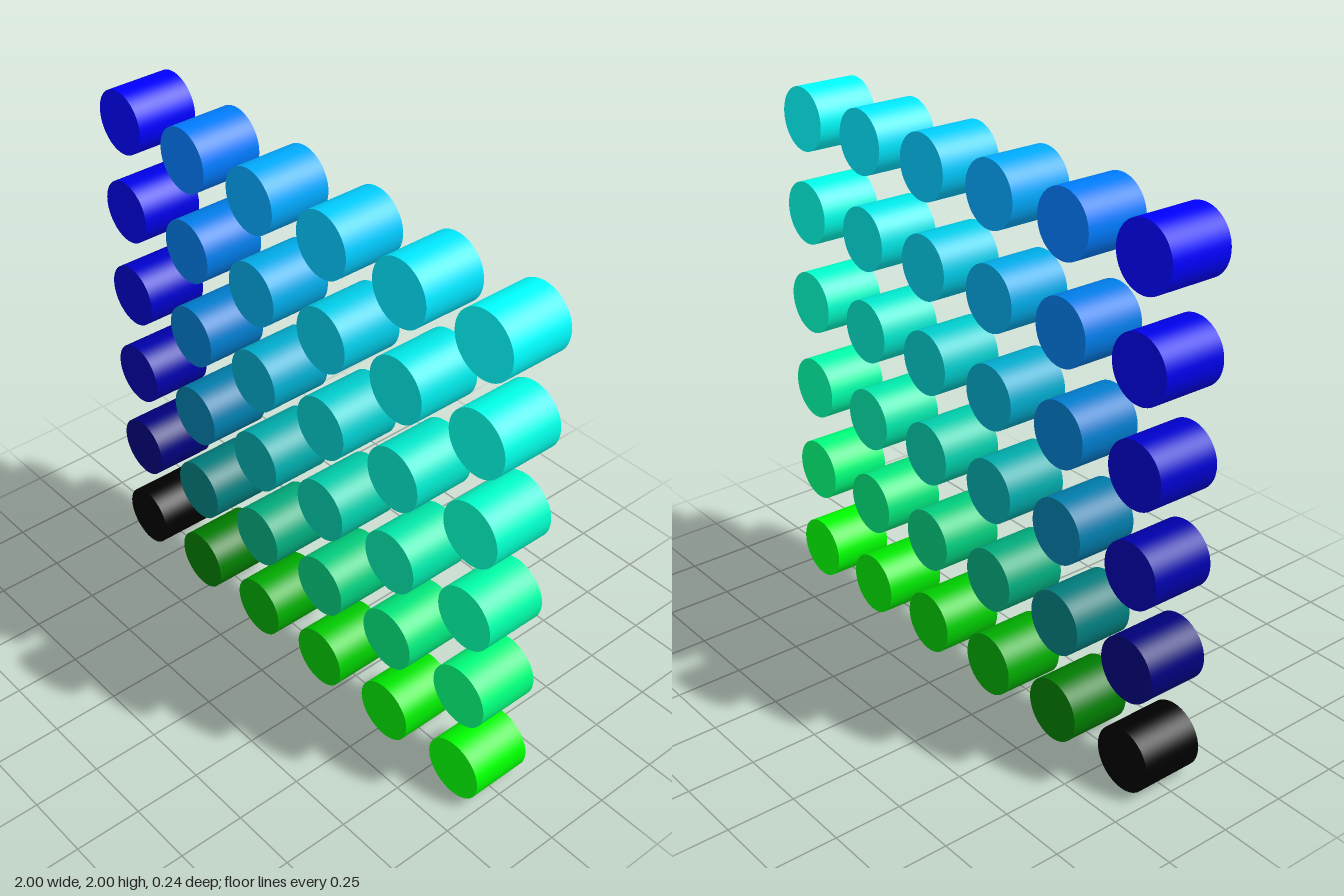
import * as THREE from 'three';

export function createModel() {
  const model = new THREE.Group();
  model.name = 'colourPegGrid';

  const count = 6;
  const radius = 2 / 17; // gaps between pegs equal one radius
  const spacing = radius * 3;

  // One peg, lying along z, shared by the whole grid
  const pegGeometry = new THREE.CylinderGeometry(radius, radius, radius * 2, 64);
  pegGeometry.rotateX(Math.PI / 2);

  for (let row = 0; row < count; row++) {
    const rowGroup = new THREE.Group();
    rowGroup.name = `row${row + 1}`;
    rowGroup.position.y = radius + row * spacing;
    for (let col = 0; col < count; col++) {
      // Green grows along x, blue grows upward
      const material = new THREE.MeshStandardMaterial();
      material.color.setRGB(0, col / (count - 1), row / (count - 1));
      const peg = new THREE.Mesh(pegGeometry, material);
      peg.name = `peg${row + 1}_${col + 1}`;
      peg.position.x = (col - (count - 1) / 2) * spacing;
      rowGroup.add(peg);
    }
    model.add(rowGroup);
  }
  return model;
}
